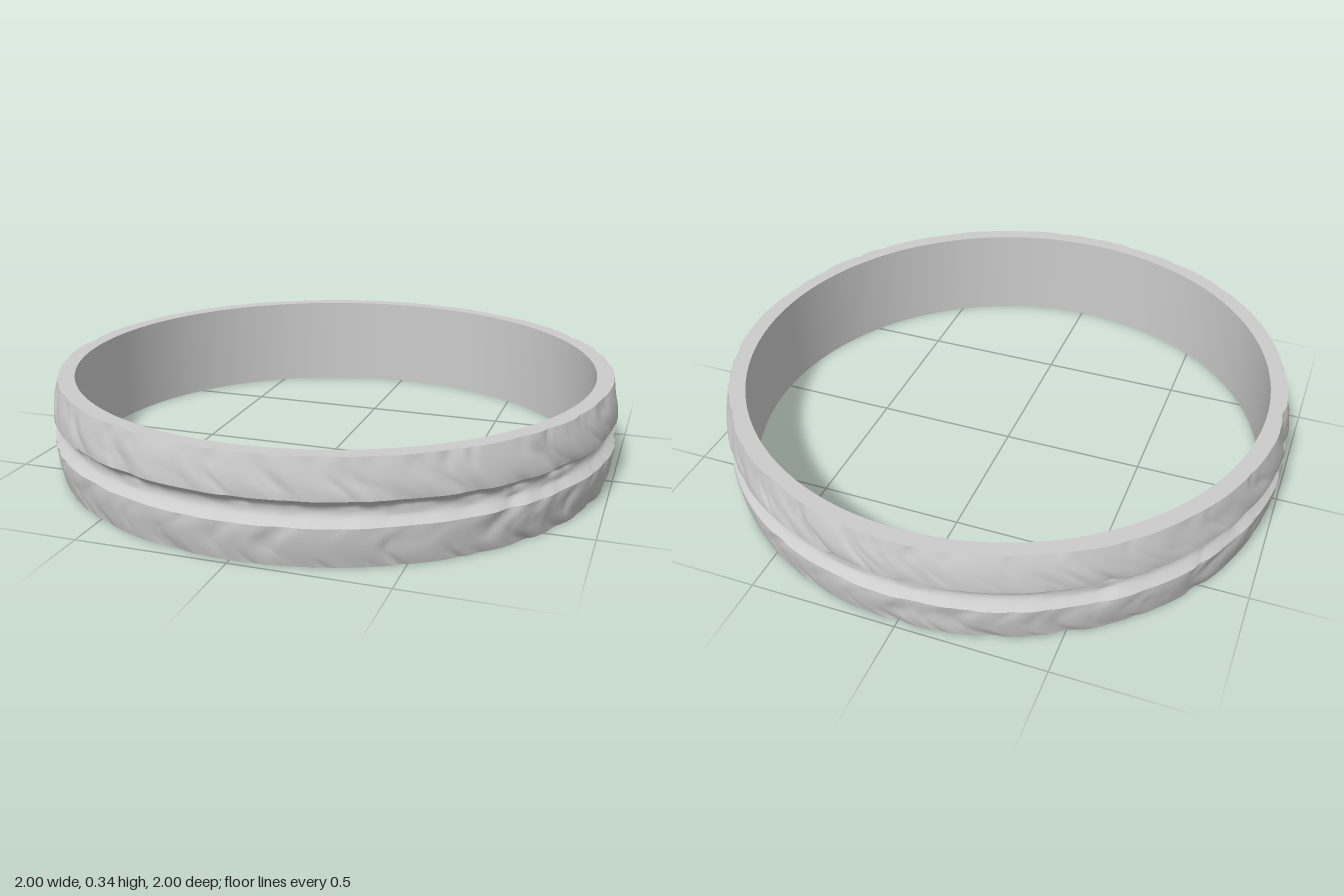
import * as THREE from 'three';
import { mergeVertices } from 'three/addons/utils/BufferGeometryUtils.js';

const SEGMENTS = 600;
const HEIGHT = 0.34;
const INNER = 0.92;
const GROOVE_LOW = 0.13, GROOVE_HIGH = 0.212;

// repeatable pseudo-random value for a lattice point
function hash(i, j) {
  const s = Math.sin(i * 127.1 + j * 311.7) * 43758.5453;
  return s - Math.floor(s);
}

// smooth noise that closes on itself after `cells` steps round the ring
function ringNoise(turn, y, cells, rows) {
  const u = turn * cells, v = y * rows;
  const i = Math.floor(u), j = Math.floor(v);
  const a = THREE.MathUtils.smoothstep(u - i, 0, 1);
  const b = THREE.MathUtils.smoothstep(v - j, 0, 1);
  const h = (p, q) => hash(((p % cells) + cells) % cells + cells, q);
  const { lerp } = THREE.MathUtils;
  return lerp(lerp(h(i, j), h(i + 1, j), a), lerp(h(i, j + 1), h(i + 1, j + 1), a), b);
}

// depth of the bark-like furrows: sparse dents, long in y
function furrowDepth(turn, y) {
  const slanted = turn + 0.008 * Math.sin(y * 25);
  const broad = ringNoise(slanted, y, 80, 11);
  const fine = ringNoise(slanted, y + 3, 170, 16);
  return 0.011 * broad ** 3 + 0.006 * fine ** 4;
}

// revolve a profile, then press the furrows into its outer surface
function ringPart(name, points, material) {
  let geometry = new THREE.LatheGeometry(points.map(([r, y]) => new THREE.Vector2(r, y)), SEGMENTS);
  geometry.deleteAttribute('uv');
  geometry.deleteAttribute('normal');
  geometry = mergeVertices(geometry, 1e-5);
  const p = geometry.attributes.position;
  for (let i = 0; i < p.count; i++) {
    const x = p.getX(i), y = p.getY(i), z = p.getZ(i);
    const r = Math.hypot(x, z);
    const weight = THREE.MathUtils.smoothstep(r, 0.966, 0.976);
    const turn = Math.atan2(x, z) / (2 * Math.PI) + 0.5;
    const k = 1 - weight * furrowDepth(turn, y) / r;
    p.setXYZ(i, x * k, y, z * k);
  }
  geometry.computeVertexNormals();
  const mesh = new THREE.Mesh(geometry, material);
  mesh.name = name;
  return mesh;
}

// evenly spaced samples of a profile rule
const sample = (n, rule) => Array.from({ length: n + 1 }, (_, i) => rule(i / n));

export function createModel() {
  const group = new THREE.Group();
  group.name = 'ring';
  const material = new THREE.MeshStandardMaterial({ color: 0xcccccc });

  // textured bands, leaning outwards towards the groove
  const outer = (t) => 0.979 + 0.021 * Math.sin(t * Math.PI / 2);
  const lower = sample(14, (t) => [outer(t), t * GROOVE_LOW]);
  const upper = sample(14, (t) => [outer(1 - t), GROOVE_HIGH + t * (HEIGHT - GROOVE_HIGH)]);

  // smooth concave groove between the bands
  const groove = sample(14, (t) => [
    1 - 0.032 * Math.sin(t * Math.PI),
    GROOVE_LOW + t * (GROOVE_HIGH - GROOVE_LOW),
  ]);

  group.add(
    ringPart('lowerBand', lower, material),
    ringPart('groove', groove, material),
    ringPart('upperBand', upper, material),
    // flat rims and plain inner wall
    ringPart('topRim', [[outer(0), HEIGHT], [INNER, HEIGHT]], material),
    ringPart('innerWall', [[INNER, HEIGHT], [INNER, 0]], material),
    ringPart('bottomRim', [[INNER, 0], [outer(0), 0]], material),
  );
  return group;
}
